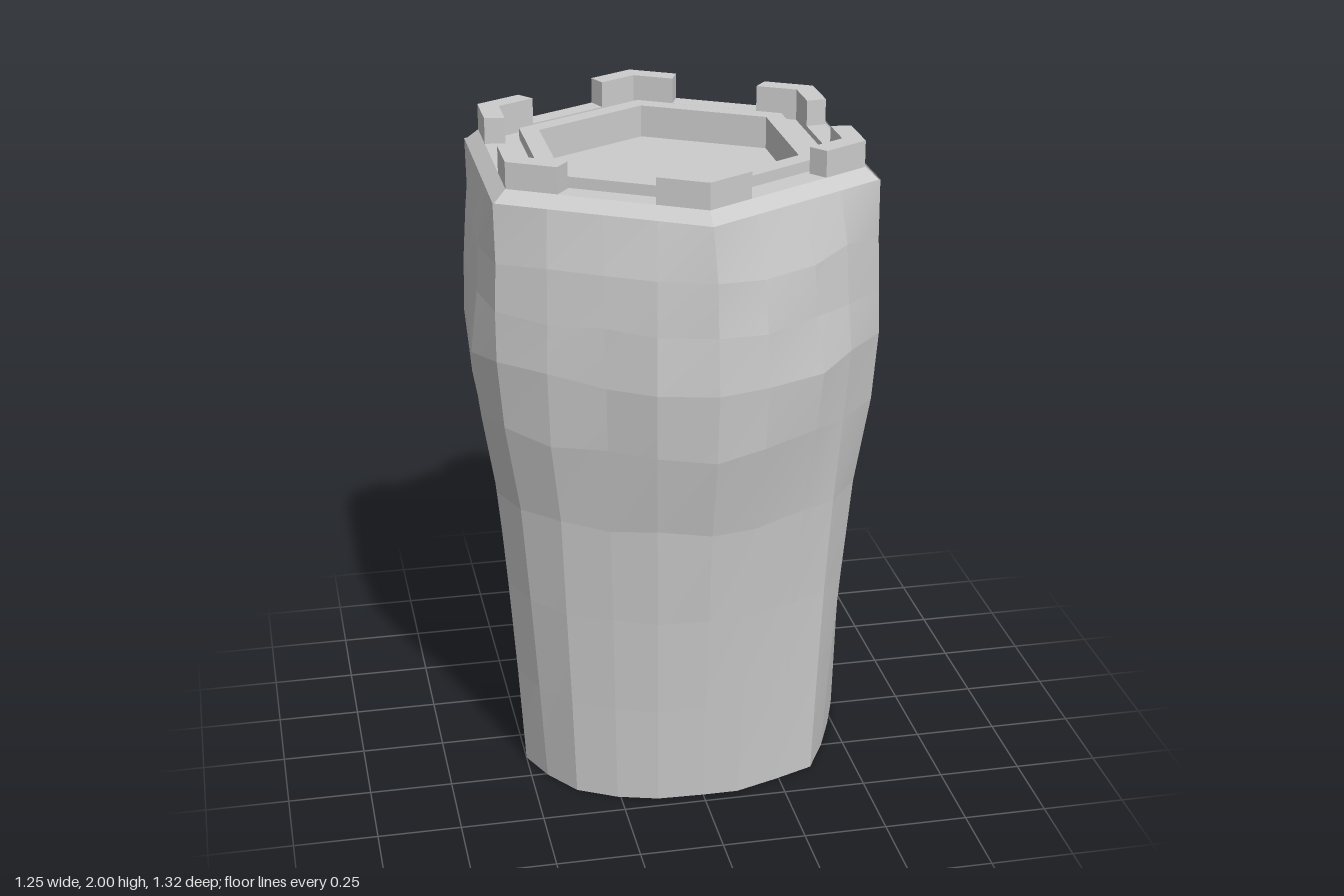
import * as THREE from 'three';

const CX = -0.017, CZ = -0.01;   // centre of the hexagonal crown
const SIDES = 24;                // four columns of facets per hexagon side
const crownMaterial = new THREE.MeshStandardMaterial({ color: 0xcccccc, flatShading: true, side: THREE.DoubleSide });
const rockMaterial = new THREE.MeshStandardMaterial({ color: 0xcccccc, side: THREE.DoubleSide });

const toPoints = list => list.map(([a, b]) => new THREE.Vector2(a, b));

// uneven outline of the foot (x, z), from the front round towards +x
const FOOT = toPoints([
  [0, .465], [.108, .465], [.24, .42], [.363, .372], [.43, .25], [.485, .12],
  [.53, -.005], [.48, -.12], [.43, -.225], [.35, -.335], [.25, -.455], [.114, -.525],
  [0, -.505], [-.113, -.487], [-.22, -.415], [-.33, -.33], [-.42, -.25], [-.455, -.12],
  [-.48, 0], [-.5, .14], [-.45, .255], [-.375, .362], [-.26, .425], [-.14, .46],
]);

// widest outline of the rock, same order
const BULGE = toPoints([
  [0, .655], [.15, .625], [.33, .52], [.43, .44], [.55, .31], [.56, .15],
  [.59, 0], [.62, -.18], [.56, -.335], [.4, -.42], [.3, -.54], [.16, -.635],
  [0, -.655], [-.18, -.63], [-.3, -.52], [-.43, -.43], [-.57, -.335], [-.615, -.18],
  [-.62, 0], [-.625, .16], [-.575, .32], [-.45, .44], [-.3, .535], [-.17, .62],
]);

// height, swelling from the foot to the bulge, blend from the bulge to the hexagon
const RINGS = [
  [0, 0, 0], [.32, .16, 0], [.63, .34, 0], [.94, .54, 0], [1.2, .87, 0],
  [1.41, 1, 0], [1.57, 1, .2], [1.73, 1, .4], [1.89, 1, 1],
];

function corner(radius, i) {
  const a = i * Math.PI / 3;
  return new THREE.Vector2(CX + radius * Math.sin(a), CZ + radius * Math.cos(a));
}

function hexPoint(radius, k) {
  const i = Math.floor(k / 4);
  return corner(radius, i).lerp(corner(radius, i + 1), (k % 4) / 4);
}

function seeded(seed) {
  return () => (seed = (seed * 16807) % 2147483647) / 2147483647;
}

// Rock column: open foot, swelling faceted sides, hexagonal top edge
function rockGeometry() {
  const random = seeded(71);
  const rings = RINGS.map(([y, swell, hex]) => FOOT.map((foot, k) => {
    const p = foot.clone().lerp(BULGE[k], swell).lerp(hexPoint(.644, k), hex);
    const rough = hex < 1 ? swell : 0;
    p.multiplyScalar(1 + (random() - .5) * .02 * rough);
    return [p.x, y + (random() - .5) * .035 * rough, p.y];
  }));
  // each four-sided facet has its own corners, so it shades as one plane
  const pos = [], index = [];
  for (let r = 0; r < rings.length - 1; r++) {
    for (let k = 0; k < SIDES; k++) {
      const next = (k + 1) % SIDES, n = pos.length / 3;
      pos.push(...rings[r][k], ...rings[r][next], ...rings[r + 1][next], ...rings[r + 1][k]);
      index.push(n, n + 1, n + 2, n, n + 2, n + 3);
    }
  }
  const g = new THREE.BufferGeometry();
  g.setAttribute('position', new THREE.Float32BufferAttribute(pos, 3));
  g.setIndex(index);
  g.computeVertexNormals();
  return g;
}

// Angled merlon wrapping the front corner of the parapet
function merlonGeometry() {
  const outer = .5975, inner = .528, c = Math.cos(Math.PI / 6), s = .5;
  const lo = .155, li = .128;    // wing lengths on the outer and inner faces
  const shape = new THREE.Shape(toPoints([
    [0, -outer], [lo * c, -outer + lo * s], [li * c, -inner + li * s],
    [0, -inner], [-li * c, -inner + li * s], [-lo * c, -outer + lo * s],
  ]));
  const g = new THREE.ExtrudeGeometry(shape, { depth: .085, bevelEnabled: false });
  return g.rotateX(-Math.PI / 2).translate(0, 1.915, 0);
}

export function createModel() {
  const model = new THREE.Group();
  model.name = 'rockTower';
  const add = (parent, name, geometry, material) => {
    const mesh = new THREE.Mesh(geometry, material);
    mesh.name = name;
    parent.add(mesh);
    return mesh;
  };

  add(model, 'rockColumn', rockGeometry(), rockMaterial);

  const crown = new THREE.Group();
  crown.name = 'crown';
  crown.position.set(CX, 0, CZ);
  model.add(crown);

  // Chamfered edge, parapet, groove, raised inner rim and sunken floor in one profile
  const profile = toPoints([
    [.644, 1.885], [.5975, 1.922], [.528, 1.922], [.528, 1.905], [.465, 1.905],
    [.465, 1.938], [.401, 1.938], [.401, 1.84], [0, 1.84],
  ]);
  add(crown, 'parapetAndFloor', new THREE.LatheGeometry(profile, 6), crownMaterial);

  // One merlon on each corner
  const merlon = merlonGeometry();
  for (let i = 0; i < 6; i++) add(crown, 'merlon', merlon, crownMaterial).rotation.y = i * Math.PI / 3;

  return model;
}
